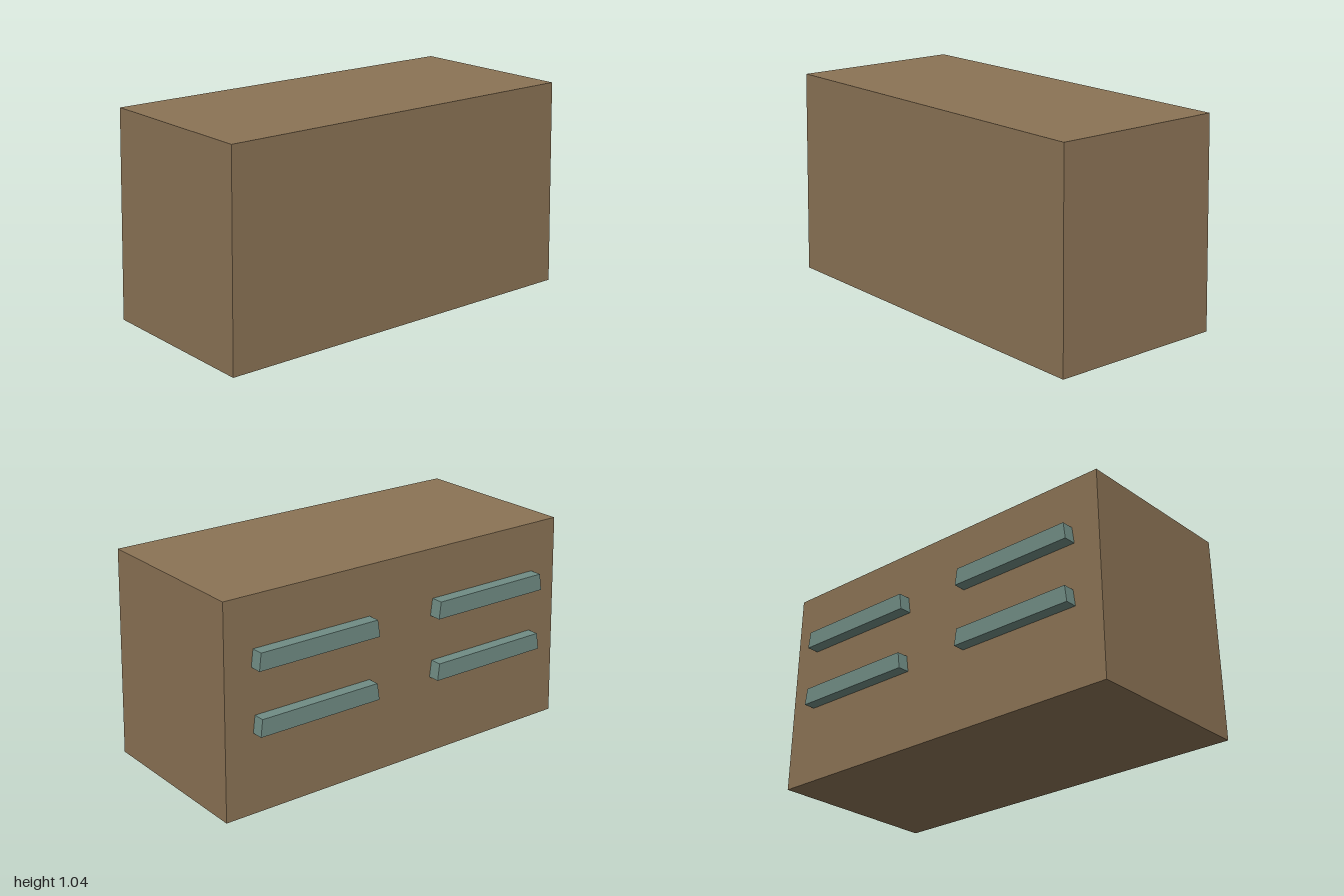
import * as THREE from 'three';

// Box standing on y = 0 whose top is scaled about its centre by (sx, sz)
function taperedBox(w, h, d, sx, sz, material, name) {
  const geometry = new THREE.BoxGeometry(w, h, d).translate(0, h / 2, 0);
  const p = geometry.attributes.position;
  for (let i = 0; i < p.count; i++) {
    if (p.getY(i) > h / 2) p.setXYZ(i, p.getX(i) * sx, p.getY(i), p.getZ(i) * sz);
  }
  geometry.computeVertexNormals();
  const mesh = new THREE.Mesh(geometry, material);
  mesh.name = name;
  return mesh;
}

export function createModel() {
  const group = new THREE.Group();
  group.name = 'cabinet';
  const brown = new THREE.MeshStandardMaterial({ color: 0x8b7355, flatShading: true });
  const teal = new THREE.MeshStandardMaterial({ color: 0x708c84, flatShading: true });

  // Main block, slightly narrower at the top
  const body = taperedBox(2, 1.043, 0.906, 0.976, 0.978, brown, 'body');
  body.position.z = 0.028;
  group.add(body);

  // Two rows of bars on the back, their inner side sunk into the block
  for (const [row, y] of [['lower', 0.397], ['upper', 0.711]]) {
    for (const [side, s] of [['Left', 1], ['Right', -1]]) {
      const bar = taperedBox(0.665, 0.084, 0.1, 0.965, 0.97, teal, `${row}${side}Bar`);
      bar.position.set(s * 0.51, y, -0.431);
      group.add(bar);
    }
  }
  return group;
}
